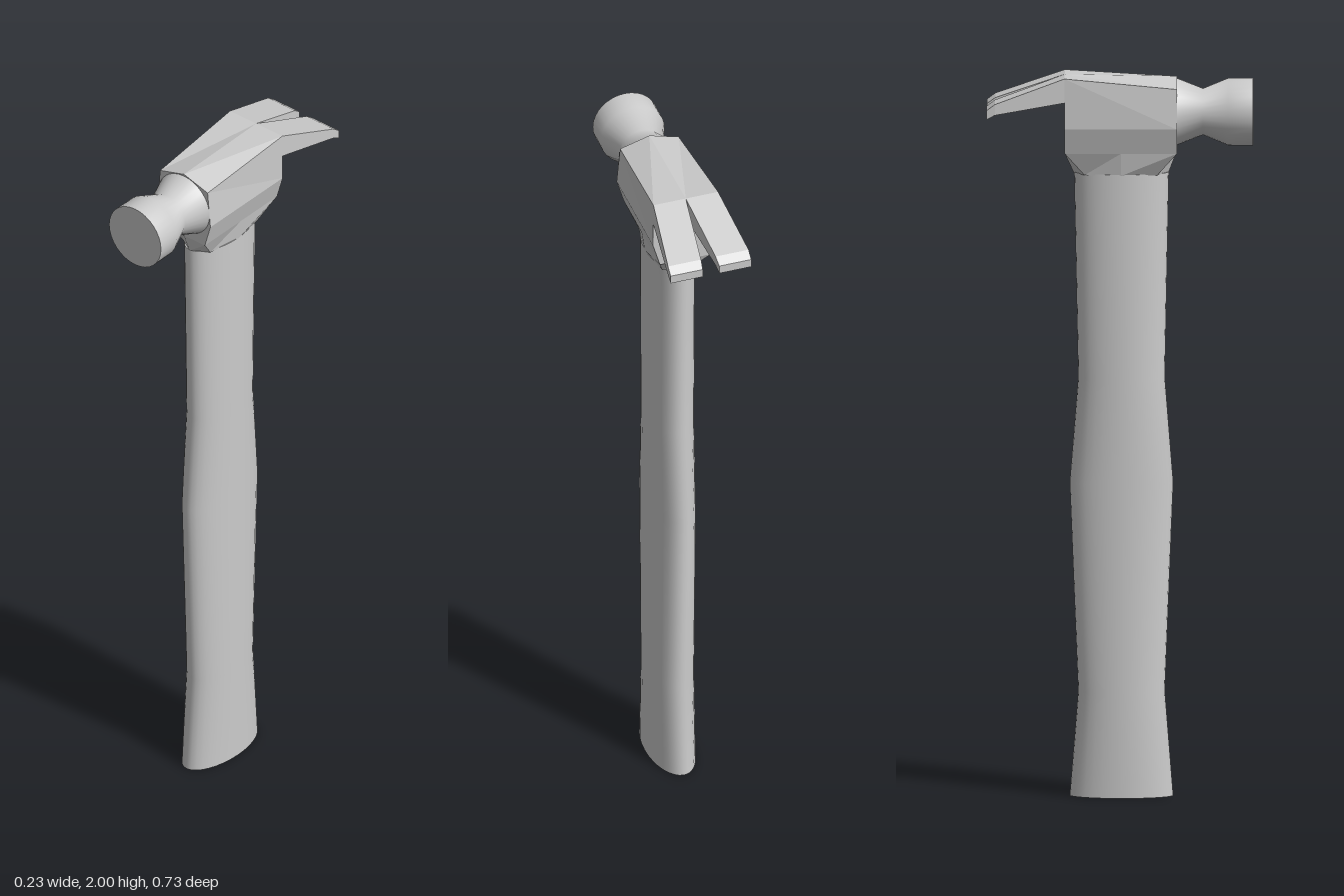
import * as THREE from 'three';
import { toCreasedNormals } from 'three/addons/utils/BufferGeometryUtils.js';

const smoothMat = new THREE.MeshStandardMaterial({ color: 0xcccccc });
const flatMat = new THREE.MeshStandardMaterial({ color: 0xcccccc, flatShading: true });

// Skin equal-length loops (counter-clockwise seen from the last loop's side), capped at both ends
function loft(loops) {
  const pos = [];
  const tri = (a, b, c) => pos.push(...a, ...b, ...c);
  const n = loops[0].length;
  for (let i = 0; i < loops.length - 1; i++) {
    const p = loops[i], q = loops[i + 1];
    for (let j = 0; j < n; j++) {
      const k = (j + 1) % n;
      tri(p[j], p[k], q[k]);
      tri(p[j], q[k], q[j]);
    }
  }
  const first = loops[0], last = loops[loops.length - 1];
  for (let j = 1; j < n - 1; j++) {
    tri(first[0], first[j + 1], first[j]);
    tri(last[0], last[j], last[j + 1]);
  }
  const geo = new THREE.BufferGeometry();
  geo.setAttribute('position', new THREE.Float32BufferAttribute(pos, 3));
  geo.computeVertexNormals();
  return geo;
}

// Closed lathe from [radius, height] pairs
const turned = (profile) =>
  new THREE.LatheGeometry(profile.map(([r, y]) => new THREE.Vector2(r, y)), 32);

export function createModel() {
  const model = new THREE.Group();
  const add = (name, geo, mat) => {
    const mesh = new THREE.Mesh(geo, mat);
    mesh.name = name;
    model.add(mesh);
    return mesh;
  };

  // Handle: oval shaft whose depth swells at the grip while its width stays constant
  const handle = turned([[0, 0], [0.142, 0], [0.119, 0.29], [0.142, 0.87],
    [0.119, 1.16], [0.13, 1.73], [0, 1.73]]);
  const p = handle.attributes.position;
  for (let i = 0; i < p.count; i++) {
    const r = Math.hypot(p.getX(i), p.getZ(i));
    if (r > 0) p.setX(i, (p.getX(i) / r) * 0.066);
    p.setZ(i, p.getZ(i) + 0.004);
  }
  add('handle', toCreasedNormals(handle, 0.8), smoothMat);

  // Head block: faceted, with a top that is ridged at the front and flat at the back
  const headLoop = (z, top, shoulder, shoulderX) => [
    [0, top, z], [-shoulderX, shoulder, z], [-0.095, 1.86, z], [-0.075, 1.79, z],
    [0.075, 1.79, z], [0.095, 1.86, z], [shoulderX, shoulder, z],
  ];
  add('headBlock', loft([
    headLoop(-0.152, 2, 2, 0.094),
    headLoop(0.157, 1.995, 1.97, 0.085),
  ]), flatMat);

  // Collar: tapers from the block's underside to the handle
  const ring = (y, xMid, xCorner, zCorner, zMid) => [
    [0, zMid], [xCorner, zCorner], [xMid, 0], [xCorner, -zCorner],
    [0, -zMid], [-xCorner, -zCorner], [-xMid, 0], [-xCorner, zCorner],
  ].map(([x, z]) => [x, y, z + 0.003]);
  add('collar', loft([
    ring(1.727, 0.066, 0.05, 0.1, 0.13),
    ring(1.79, 0.075, 0.075, 0.154, 0.154),
  ]), flatMat);

  // Striking face with a pinched neck
  const poll = turned([[0, 0.15], [0.092, 0.157], [0.064, 0.228], [0.093, 0.298],
    [0.093, 0.366], [0, 0.366]]);
  poll.rotateX(Math.PI / 2);
  poll.translate(0, 1.897, 0);
  add('strikingFace', toCreasedNormals(poll, 1.0), smoothMat);

  // Pair of claws, listed from tip to root: z, bottom, top, inner x, outer x
  const stations = [
    [-0.366, 1.89, 1.915, 0.024, 0.117],
    [-0.343, 1.902, 1.932, 0.021, 0.117],
    [-0.152, 1.933, 2, 0, 0.094],
  ];
  for (const side of [1, -1]) {
    const loops = stations.map(([z, low, high, inner, outer]) => {
      const loop = [[inner, low], [outer, low], [outer, high], [inner, high]]
        .map(([x, y]) => [x * side, y, z]);
      return side > 0 ? loop : loop.reverse();
    });
    add(side > 0 ? 'leftClaw' : 'rightClaw', loft(loops), flatMat);
  }

  return model;
}
